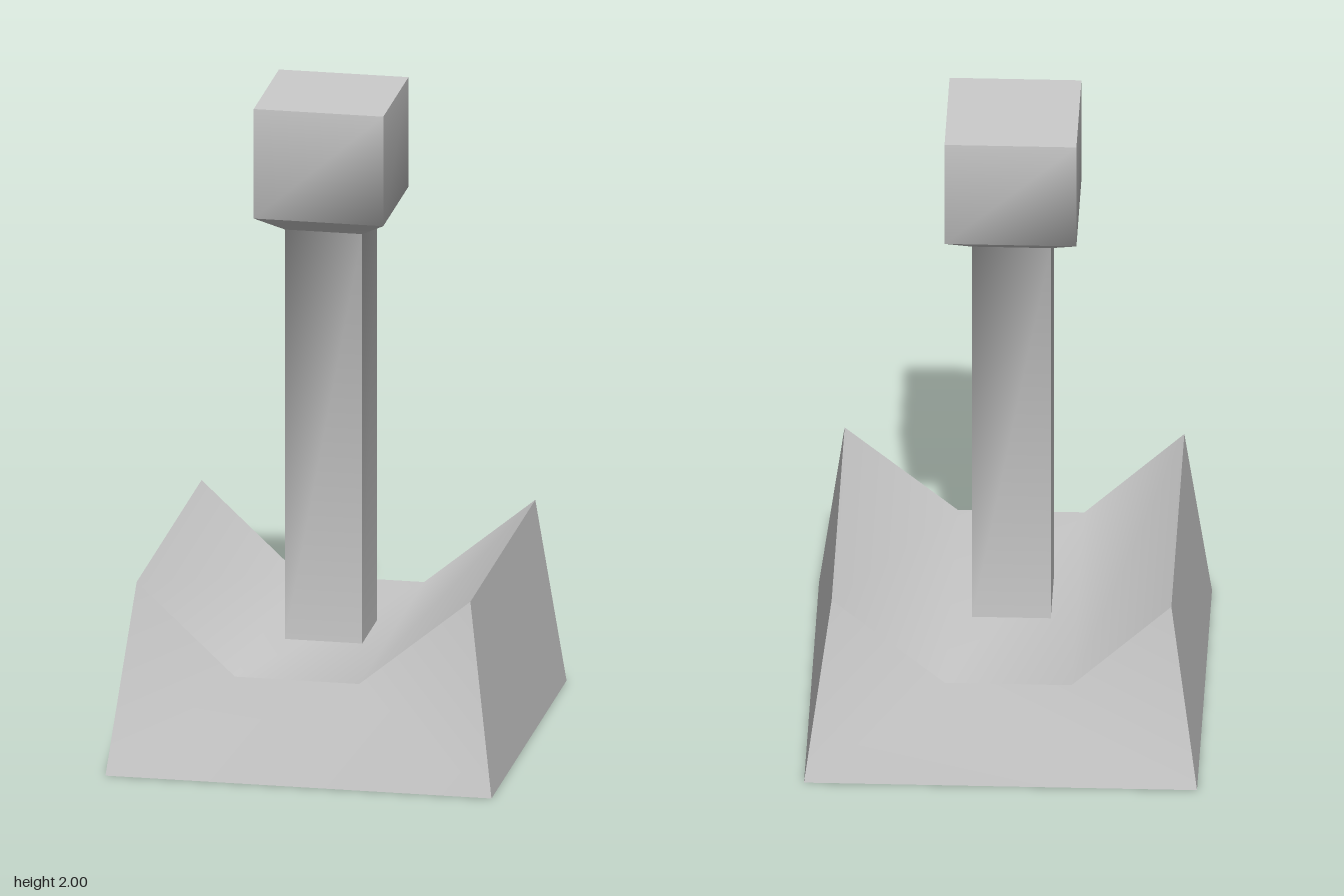
import * as THREE from 'three';
import { toCreasedNormals } from 'three/addons/utils/BufferGeometryUtils.js';

const material = new THREE.MeshStandardMaterial({ color: 0xcccccc });

// Joins equal-length rings (counter-clockwise seen from the last ring's end) and caps both ends.
function loft(rings, cap) {
  const n = rings[0].length;
  const last = (rings.length - 1) * n;
  const index = [];
  for (let r = 0; r < rings.length - 1; r++) {
    for (let i = 0; i < n; i++) {
      const a = r * n + i, b = r * n + (i + 1) % n;
      index.push(a, b, b + n, a, b + n, a + n);
    }
  }
  for (const [a, b, c] of cap) index.push(a, c, b, last + a, last + b, last + c);
  const geometry = new THREE.BufferGeometry();
  geometry.setAttribute('position', new THREE.Float32BufferAttribute(rings.flat(2), 3));
  geometry.setIndex(index);
  return toCreasedNormals(geometry, 1.1);
}

function addMesh(group, name, geometry) {
  const mesh = new THREE.Mesh(geometry, material);
  mesh.name = name;
  group.add(mesh);
}

export function createModel() {
  const group = new THREE.Group();
  group.name = 'postOnNotchedBase';

  // Base: notched outline, the top corners leaning inward at front and back
  const outline = [
    [-0.59, 0], [0.59, 0], [0.51, 0.59], [0.17, 0.31], [-0.21, 0.31], [-0.51, 0.59],
  ];
  const section = (side) => outline.map(([x, y]) => [x, y, side * (y > 0 ? 0.51 : 0.59)]);
  addMesh(group, 'base', loft([section(-1), section(1)],
    [[0, 1, 3], [0, 3, 4], [0, 4, 5], [1, 2, 3]]));

  // Post: square shaft flaring into a block-shaped head
  const cx = -0.015;
  const square = ([y, h]) => [[cx - h, y, h], [cx + h, y, h], [cx + h, y, -h], [cx - h, y, -h]];
  const levels = [[0.31, 0.118], [1.6, 0.118], [1.655, 0.198], [2, 0.198]];
  addMesh(group, 'post', loft(levels.map(square), [[0, 1, 2], [0, 2, 3]]));

  return group;
}
